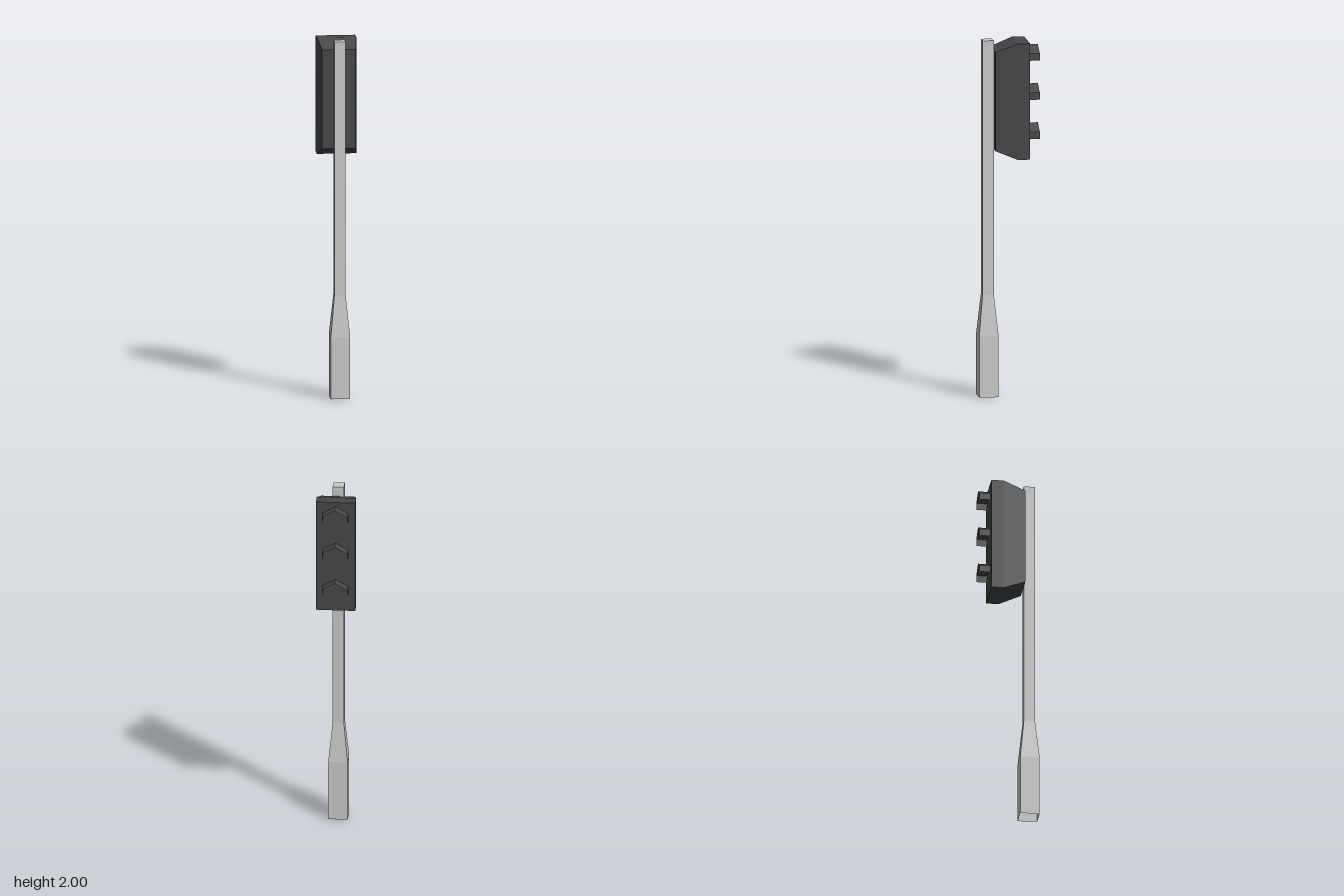
import * as THREE from 'three';

// Skin over rectangular rings of four corners each, with optional end caps.
function loft(rings, capStart, capEnd) {
  const pos = [];
  const quad = (a, b, c, d) => [a, b, c, a, c, d].forEach(p => pos.push(...p));
  for (let i = 0; i < rings.length - 1; i++) {
    for (let k = 0; k < 4; k++) {
      const n = (k + 1) % 4;
      quad(rings[i][k], rings[i][n], rings[i + 1][n], rings[i + 1][k]);
    }
  }
  if (capStart) quad(...[...rings[0]].reverse());
  if (capEnd) quad(...rings[rings.length - 1]);
  const geo = new THREE.BufferGeometry();
  geo.setAttribute('position', new THREE.Float32BufferAttribute(pos, 3));
  geo.computeVertexNormals();
  return geo;
}

export function createModel() {
  const model = new THREE.Group();
  model.name = 'trafficLight';
  const grey = new THREE.MeshStandardMaterial({ color: 0xcccccc, flatShading: true, side: THREE.DoubleSide });
  const dark = new THREE.MeshStandardMaterial({ color: 0x484848, flatShading: true, side: THREE.DoubleSide });
  const add = (name, geo, mat) => {
    const mesh = new THREE.Mesh(geo, mat);
    mesh.name = name;
    model.add(mesh);
    return mesh;
  };

  // Square pole: wide foot, taper, slim shaft; open underneath
  const poleRing = ([y, r]) => [[-r, y, r], [r, y, r], [r, y, -r], [-r, y, -r]];
  const pole = add('pole', loft([[0, 0.054], [0.345, 0.054], [0.575, 0.031], [2, 0.031]].map(poleRing), false, true), grey);
  pole.position.z = 0.112;

  // Lamp housing: straight at the lamp face, chamfered towards the pole
  const headRing = ([z, x, y0, y1]) => [[-x, y0, z], [x, y0, z], [x, y1, z], [-x, y1, z]];
  add('housing', loft([
    [-0.11, 0.109, 1.34, 1.992],
    [-0.042, 0.109, 1.34, 1.992],
    [0.081, 0.093, 1.39, 1.945],
  ].map(headRing), true, true), dark);

  // Three thin gabled visors over the lamps
  const profile = [[-0.07, -0.08], [-0.07, -0.04], [0, 0], [0.07, -0.04], [0.07, -0.08]];
  ['topVisor', 'middleVisor', 'bottomVisor'].forEach((name, i) => {
    const pos = [];
    for (let k = 0; k < profile.length - 1; k++) {
      const [a, b] = [profile[k], profile[k + 1]];
      const [p, q, r, s] = [[...a, -0.11], [...b, -0.11], [...b, -0.17], [...a, -0.17]];
      pos.push(...p, ...r, ...q, ...p, ...s, ...r);
    }
    const geo = new THREE.BufferGeometry();
    geo.setAttribute('position', new THREE.Float32BufferAttribute(pos, 3));
    geo.computeVertexNormals();
    add(name, geo, dark).position.y = 1.968 - 0.22 * i;
  });
  return model;
}
